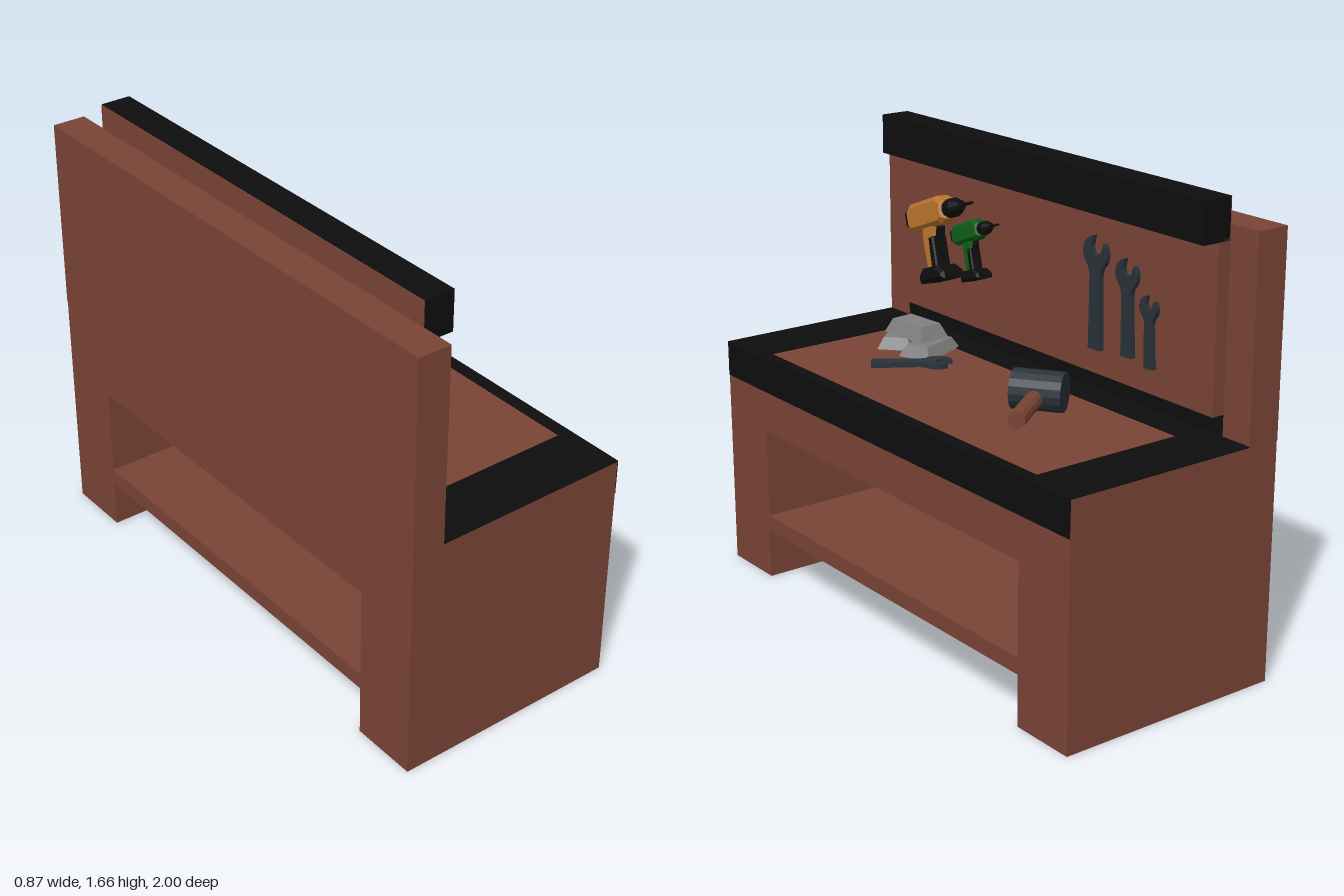
import * as THREE from 'three';

const paint = (color) => new THREE.MeshStandardMaterial({ color, flatShading: true });
const wood = paint(0x7a4436), black = paint(0x0e0e0e), steel = paint(0x29333a);
const grey = paint(0x808080), orange = paint(0xb8722c), green = paint(0x0d5c16);

function add(parent, name, geometry, material) {
  const mesh = new THREE.Mesh(geometry, material);
  mesh.name = name;
  parent.add(mesh);
  return mesh;
}

// Box given by its min and max on each axis
function block(parent, name, material, [x0, x1], [y0, y1], [z0, z1]) {
  const g = new THREE.BoxGeometry(x1 - x0, y1 - y0, z1 - z0);
  g.translate((x0 + x1) / 2, (y0 + y1) / 2, (z0 + z1) / 2);
  return add(parent, name, g, material);
}

function named(parent, name) {
  const g = new THREE.Group();
  g.name = name;
  parent.add(g);
  return g;
}

const outline = (pts) => new THREE.Shape(pts.map(([x, y]) => new THREE.Vector2(x, y)));

// Extrusion centred on z = 0, with a chamfered rim
function slab(shape, depth, bevel = 0) {
  const g = new THREE.ExtrudeGeometry(shape, {
    depth: depth - 2 * bevel, bevelEnabled: bevel > 0, bevelSize: bevel,
    bevelOffset: -bevel, bevelThickness: bevel, bevelSegments: 1, curveSegments: 8,
  });
  return g.translate(0, 0, bevel - depth / 2);
}

// Open-ended spanner: origin at the head, handle pointing down
function makeWrench(parent, name, r, length) {
  const w = r * 0.43, tilt = -0.35, gap = 0.5;
  const s = new THREE.Shape();
  s.moveTo(-w * 1.2, -length);
  s.lineTo(w * 1.2, -length);
  s.lineTo(w, -r * 1.25);
  s.absarc(0, 0, r, -0.95, Math.PI / 2 + tilt - gap, false);
  const spin = (x, y) => s.lineTo(
    r * (x * Math.cos(tilt) - y * Math.sin(tilt)), r * (x * Math.sin(tilt) + y * Math.cos(tilt)));
  [[0.42, 0.2], [0.2, -0.08], [-0.2, -0.08], [-0.42, 0.2]].forEach((p) => spin(...p));
  s.absarc(0, 0, r, Math.PI / 2 + tilt + gap, Math.PI + 0.95, false);
  s.lineTo(-w, -r * 1.25);
  return add(parent, name, slab(s, 0.018), steel);
}

// Cordless drill pointing along +x
function makeDrill(parent, name, color) {
  const d = named(parent, name);
  add(d, 'drillBody', slab(outline([
    [-0.11, -0.035], [-0.11, 0.03], [-0.085, 0.05], [0.09, 0.055], [0.125, 0.035],
    [0.125, -0.035], [0.09, -0.05], [-0.08, -0.055]]), 0.08, 0.016), color);
  add(d, 'drillHandle', slab(outline([
    [-0.035, -0.04], [0.05, -0.04], [0.03, -0.1], [0.035, -0.21], [-0.035, -0.21], [-0.04, -0.1]]),
  0.06, 0.012), color);
  add(d, 'grip', slab(outline([
    [0.005, -0.085], [0.036, -0.085], [0.036, -0.2], [0.0, -0.2]]), 0.066, 0.006), black);
  add(d, 'trigger', slab(outline([
    [0.03, -0.045], [0.06, -0.055], [0.048, -0.09], [0.025, -0.09]]), 0.03), black);
  add(d, 'battery', slab(outline([
    [-0.065, -0.25], [-0.065, -0.215], [-0.04, -0.195], [0.05, -0.195], [0.088, -0.22], [0.088, -0.25]]),
  0.105, 0.012), black);
  add(d, 'rearCap', slab(outline([
    [-0.118, -0.028], [-0.118, 0.025], [-0.095, 0.03], [-0.095, -0.032]]), 0.06), black);
  // Chuck and bit, turned about the barrel axis
  const nose = [[0, 0.12], [0.036, 0.12], [0.036, 0.16], [0.018, 0.2], [0.006, 0.2], [0.006, 0.26], [0, 0.275]];
  const lathe = new THREE.LatheGeometry(nose.map(([x, y]) => new THREE.Vector2(x, y)), 10);
  add(d, 'chuckAndBit', lathe.rotateZ(-Math.PI / 2), black);
  return d;
}

// Metal bar with a tapered top
function makeIngot(parent, x, y, z, height, turn) {
  const g = new THREE.BoxGeometry(0.13, height, 0.21);
  const p = g.attributes.position;
  for (let i = 0; i < p.count; i++) {
    if (p.getY(i) > 0) p.setXYZ(i, p.getX(i) * 0.68, p.getY(i), p.getZ(i) * 0.78);
  }
  g.computeVertexNormals();
  const m = add(parent, 'ingot', g, grey);
  m.position.set(x, y + height / 2, z);
  m.rotation.y = turn;
}

export function createModel() {
  const model = new THREE.Group();
  model.name = 'workbench';
  const top = 0.863;

  // Bench body: side-to-side outline with a through opening above the shelf
  const frame = outline([[-1, 0], [-0.75, 0], [-0.75, 0.185], [0.75, 0.185], [0.75, 0], [1, 0], [1, top], [-1, top]]);
  frame.holes.push(new THREE.Path([[-0.75, 0.245], [-0.75, 0.58], [0.75, 0.58], [0.75, 0.245]]
    .map(([x, y]) => new THREE.Vector2(x, y))));
  add(model, 'benchBody', slab(frame, 0.864).rotateY(Math.PI / 2), wood);

  // Dark worktop border and front band
  const trim = named(model, 'worktopTrim');
  const lip = [top, top + 0.003];
  block(trim, 'backBorder', black, [-0.31, -0.195], lip, [-1, 1]);
  block(trim, 'frontBorder', black, [0.385, 0.434], lip, [-1, 1]);
  block(trim, 'rightBorder', black, [-0.195, 0.385], lip, [-1, -0.78]);
  block(trim, 'leftBorder', black, [-0.195, 0.385], lip, [0.77, 1]);
  block(trim, 'frontBand', black, [0.431, 0.434], [0.735, top], [-1, 1]);
  block(trim, 'wallStrip', black, [-0.311, -0.308], [top, 0.94], [-0.875, 0.875]);

  // Back wall, tool board and hood
  block(model, 'backWall', wood, [-0.434, -0.31], [top, 1.575], [-1, 1]);
  block(model, 'toolBoard', wood, [-0.31, -0.262], [0.94, 1.53], [-0.875, 0.875]);
  block(model, 'hood', black, [-0.308, -0.195], [1.52, 1.665], [-0.875, 0.875]);
  block(model, 'hoodBack', wood, [-0.311, -0.308], [1.52, 1.663], [-0.874, 0.874]);

  // Tools on the board, laid out facing +x
  const wall = named(model, 'wallTools');
  wall.rotation.y = Math.PI / 2;
  [['largeDrill', orange, -0.607, 1.332, -0.218, 1], ['smallDrill', green, -0.388, 1.305, -0.229, 0.7]]
    .forEach(([name, color, u, v, w, scale]) => {
      const d = makeDrill(wall, name, color);
      d.position.set(u, v, w);
      d.scale.setScalar(scale);
      d.rotation.set(-0.08, 0, 0.35);
    });
  [[0.302, 1.37, 0.06, 0.338, 0.01], [0.462, 1.33, 0.053, 0.285, 0.03], [0.573, 1.24, 0.041, 0.208, 0.04]]
    .forEach(([u, v, r, length, turn]) => {
      const w = makeWrench(wall, 'hangingWrench', r, length);
      w.position.set(u, v, -0.25);
      w.rotation.z = turn;
    });

  // Loose wrench on the worktop
  const loose = named(model, 'looseWrench');
  loose.position.set(-0.025, top + 0.009, 0.3);
  loose.rotation.x = -Math.PI / 2;
  makeWrench(loose, 'wrench', 0.053, 0.24).rotation.z = 0.96;

  // Mallet
  const mallet = named(model, 'mallet');
  mallet.position.set(-0.003, 0.935, -0.307);
  mallet.rotation.y = 0.63;
  add(mallet, 'malletHead', new THREE.CylinderGeometry(0.07, 0.07, 0.18, 16).rotateX(Math.PI / 2), steel);
  const handle = new THREE.CylinderGeometry(0.031, 0.031, 0.365, 12).rotateZ(Math.PI / 2);
  add(mallet, 'malletHandle', handle.translate(0.1, -0.012, 0), wood);

  // Pile of ingots
  const pile = named(model, 'ingotPile');
  makeIngot(pile, -0.08, top, 0.61, 0.042, -0.85);
  makeIngot(pile, -0.095, top, 0.45, 0.042, -1.2);
  makeIngot(pile, -0.105, top + 0.042, 0.545, 0.052, 0.08);

  return model;
}
